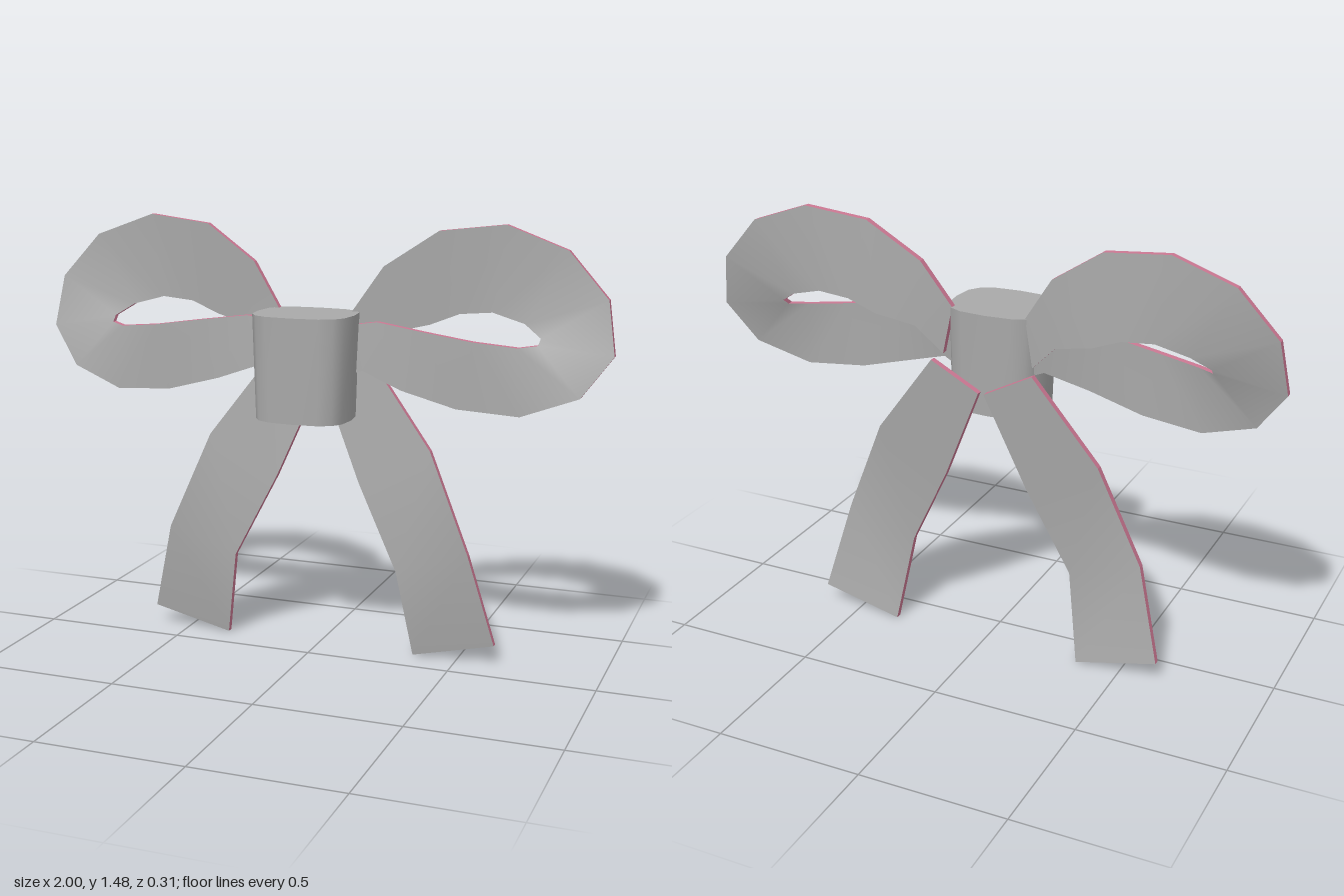
import * as THREE from 'three';

const ribbonGrey = new THREE.MeshStandardMaterial({ name: 'ribbonGrey', color: 0xa9a9a9 });
const edgePink = new THREE.MeshStandardMaterial({ name: 'edgePink', color: 0xcc7893 });
const HALF = 0.011; // half the ribbon thickness

// Cross-sections: outer x, y, z, then inner x, y, z
const loopSections = [
  [0.13, 1.19, -0.08, 0.16, 1.03, -0.09],
  [0.23, 1.34, -0.105, 0.25, 1.12, -0.115],
  [0.41, 1.46, -0.13, 0.38, 1.15, -0.14],
  [0.63, 1.485, -0.145, 0.48, 1.19, -0.147],
  [0.835, 1.41, -0.138, 0.59, 1.2, -0.147],
  [0.97, 1.26, -0.125, 0.7, 1.17, -0.135],
  [0.998, 1.085, -0.1, 0.76, 1.13, -0.105],
  [0.9, 0.95, -0.065, 0.757, 1.11, -0.08],
  [0.715, 0.885, -0.03, 0.7, 1.105, -0.04],
  [0.51, 0.9, -0.01, 0.56, 1.12, -0.015],
  [0.325, 0.95, -0.005, 0.4, 1.145, -0.005],
  [0.18, 1.0, -0.04, 0.23, 1.165, -0.04],
  [0.12, 0.98, -0.06, 0.15, 1.15, -0.065],
];
const tailSections = [
  [0.18, 1.02, -0.138, 0.01, 0.93, -0.138],
  [0.4, 0.73, -0.103, 0.15, 0.6, -0.103],
  [0.545, 0.39, -0.072, 0.295, 0.31, -0.072],
  [0.63, 0.07, -0.12, 0.345, 0.003, -0.12],
];

function makeGeometry(points, index) {
  const g = new THREE.BufferGeometry();
  g.setAttribute('position', new THREE.Float32BufferAttribute(points.flat(), 3));
  g.setIndex(index);
  g.computeVertexNormals();
  return g;
}

// Thick ribbon: smooth grey front and back sheets, pink rim all round
function ribbon(name, sections, side) {
  const group = new THREE.Group();
  group.name = name;
  const outer = sections.map((s) => [s[0] * side, s[1], s[2]]);
  const inner = sections.map((s) => [s[3] * side, s[4], s[5]]);
  const shift = (p, dz) => [p[0], p[1], p[2] + dz];
  const addQuad = (index, a, b, c, d, forward) =>
    index.push(...(forward ? [a, b, c, a, c, d] : [a, c, b, a, d, c]));

  for (const face of [1, -1]) {
    const points = [];
    const index = [];
    outer.forEach((p, k) => {
      points.push(shift(p, face * HALF), shift(inner[k], face * HALF));
      const i = 2 * k;
      if (k < outer.length - 1) addQuad(index, i, i + 1, i + 3, i + 2, face * side > 0);
    });
    const sheet = new THREE.Mesh(makeGeometry(points, index), ribbonGrey);
    sheet.name = face > 0 ? 'frontSheet' : 'backSheet';
    group.add(sheet);
  }

  const border = [...inner, ...outer.slice().reverse()];
  const points = [];
  const index = [];
  border.forEach((p, k) => {
    const q = border[(k + 1) % border.length];
    const n = points.length;
    points.push(shift(p, -HALF), shift(q, -HALF), shift(q, HALF), shift(p, HALF));
    addQuad(index, n, n + 1, n + 2, n + 3, side > 0);
  });
  const rim = new THREE.Mesh(makeGeometry(points, index), edgePink);
  rim.name = 'rim';
  group.add(rim);
  return group;
}

// Knot: cylinder squared off into a rounded box section, narrower at the foot
function knot() {
  const g = new THREE.CylinderGeometry(1, 1, 0.35, 16, 1, false, Math.PI);
  const pos = g.attributes.position;
  const square = (v) => Math.sign(v) * Math.abs(v) ** 0.65;
  for (let i = 0; i < pos.count; i++) {
    const taper = pos.getY(i) > 0 ? 1 : 0.94;
    pos.setX(i, square(pos.getX(i)) * 0.169 * taper);
    pos.setZ(i, square(pos.getZ(i)) * 0.139 * taper + 0.0175);
  }
  g.computeVertexNormals();
  const mesh = new THREE.Mesh(g, ribbonGrey);
  mesh.name = 'knot';
  mesh.position.y = 1.015;
  return mesh;
}

export function createModel() {
  const model = new THREE.Group();
  model.name = 'ribbonBow';
  model.add(knot());
  for (const side of [1, -1]) {
    const label = side > 0 ? 'left' : 'right';
    model.add(ribbon(label + 'Loop', loopSections, side));
    model.add(ribbon(label + 'Tail', tailSections, side));
  }
  return model;
}
